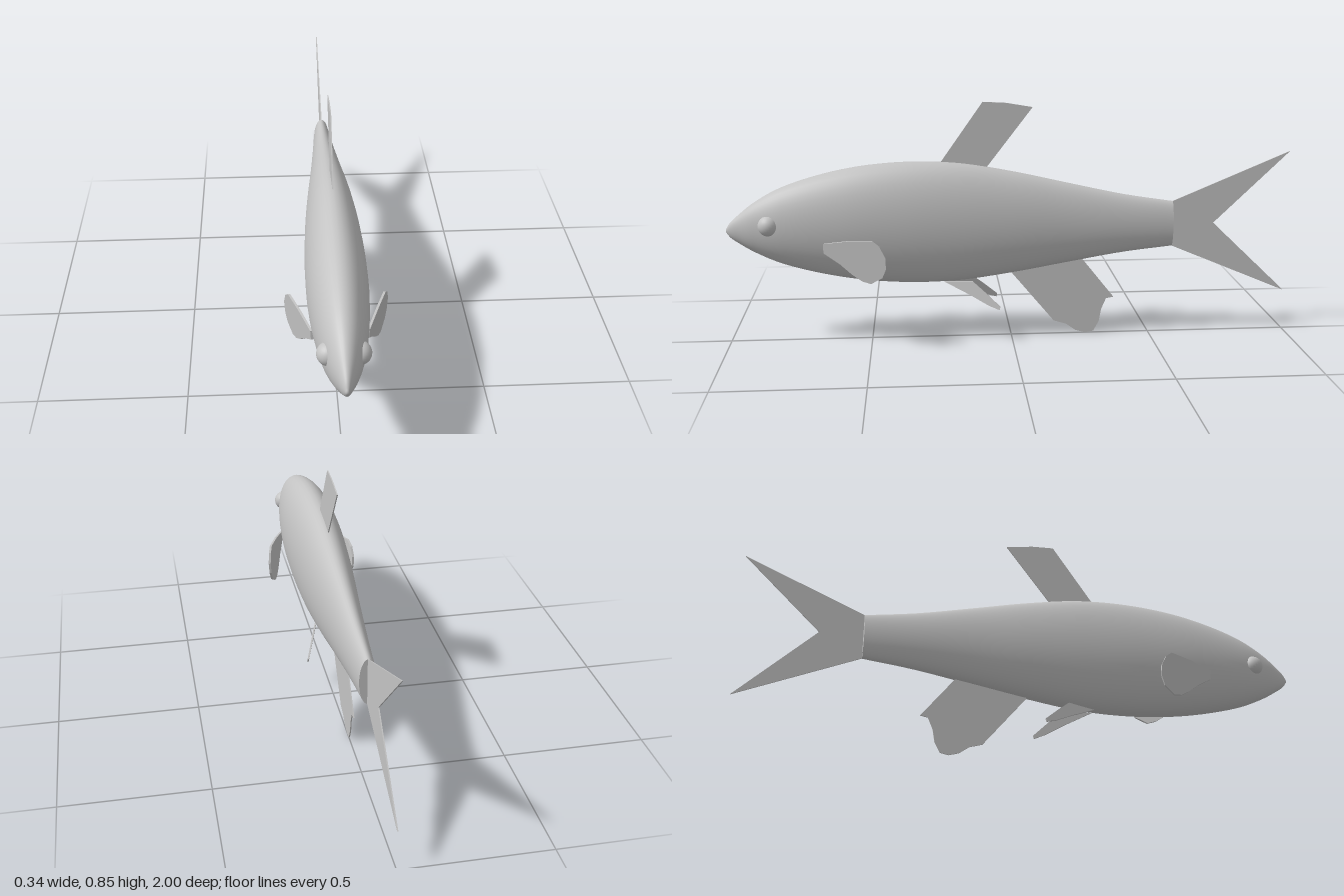
import * as THREE from 'three';

const silver = new THREE.MeshStandardMaterial({ color: 0xc4c4c4 });
silver.name = 'silver grey';

// Body stations: z, top y, bottom y, half width
const STATIONS = [
  [1.0, 0.412, 0.402, 0.004], [0.985, 0.435, 0.382, 0.013], [0.95, 0.467, 0.357, 0.028],
  [0.9, 0.506, 0.327, 0.047], [0.8, 0.56, 0.283, 0.073], [0.6, 0.618, 0.233, 0.096],
  [0.4, 0.642, 0.21, 0.1], [0.2, 0.638, 0.211, 0.093], [0, 0.605, 0.236, 0.079],
  [-0.2, 0.56, 0.27, 0.06], [-0.4, 0.516, 0.303, 0.043], [-0.58, 0.487, 0.323, 0.029],
];

function add(parent, name, geometry) {
  const mesh = new THREE.Mesh(geometry, silver);
  mesh.name = name;
  parent.add(mesh);
  return mesh;
}

// Smooth hull lofted through elliptical rings
function bodyGeometry(sides = 40, rings = 66) {
  const rim = new THREE.CatmullRomCurve3(STATIONS.map(([z, t, b]) => new THREE.Vector3(b, t, z)));
  const width = new THREE.CatmullRomCurve3(STATIONS.map(([z, , , w]) => new THREE.Vector3(w, 0, z)));
  const pos = [], index = [];
  for (let i = 0; i <= rings; i++) {
    const p = rim.getPoint(i / rings), w = width.getPoint(i / rings).x;
    for (let j = 0; j < sides; j++) {
      const a = (j / sides) * Math.PI * 2;
      pos.push(w * Math.cos(a), (p.x + p.y) / 2 + ((p.y - p.x) / 2) * Math.sin(a), p.z);
      if (i === rings) continue;
      const k = (j + 1) % sides, r = i * sides, s = r + sides;
      index.push(r + j, s + j, r + k, r + k, s + j, s + k);
    }
  }
  // Close the nose tip
  const tip = pos.length / 3;
  pos.push(0, 0.407, 1);
  for (let j = 0; j < sides; j++) index.push(tip, j, (j + 1) % sides);
  const geo = new THREE.BufferGeometry();
  geo.setAttribute('position', new THREE.Float32BufferAttribute(pos, 3));
  geo.setIndex(index);
  geo.computeVertexNormals();
  return geo;
}

// Thin plate from a side outline of [z, y]; sideways(z, y) gives its x position
function finGeometry(outline, thickness, sideways = () => 0) {
  const shape = new THREE.Shape(outline.map(([z, y]) => new THREE.Vector2(z, y)));
  const geo = new THREE.ExtrudeGeometry(shape, { depth: thickness, bevelEnabled: false });
  const p = geo.attributes.position;
  for (let i = 0; i < p.count; i++) {
    const z = p.getX(i), y = p.getY(i), d = p.getZ(i) - thickness / 2;
    p.setXYZ(i, sideways(z, y) - d, y, z);
  }
  geo.computeVertexNormals();
  return geo;
}

export function createModel() {
  const fish = new THREE.Group();
  fish.name = 'fish';

  add(fish, 'body', bodyGeometry());
  const cap = add(fish, 'bodyEnd', new THREE.CircleGeometry(1, 40));
  cap.scale.set(0.029, 0.082, 1);
  cap.rotation.y = Math.PI;
  cap.position.set(0, 0.405, -0.58);

  // Fins on the centre line
  add(fish, 'tailFin', finGeometry([
    [-0.56, 0.48], [-0.58, 0.487], [-1, 0.663], [-0.73, 0.405], [-1, 0.147], [-0.58, 0.323], [-0.56, 0.33],
  ], 0.004));
  add(fish, 'dorsalFin', finGeometry([
    [0.27, 0.605], [0.25, 0.637], [0.1, 0.85], [0.02, 0.846], [-0.075, 0.83], [0.085, 0.622], [0.11, 0.59],
  ], 0.004));
  add(fish, 'analFin', finGeometry([
    [0.02, 0.26], [0, 0.236], [-0.155, 0.05], [-0.2, 0.037], [-0.235, 0.012], [-0.27, 0.002], [-0.3, 0.008],
    [-0.32, 0.045], [-0.328, 0.09], [-0.345, 0.13], [-0.372, 0.135], [-0.26, 0.275], [-0.24, 0.3],
  ], 0.004));

  // Paired eyes and fins
  for (const [side, label] of [[1, 'left'], [-1, 'right']]) {
    const eye = add(fish, label + 'Eye', new THREE.SphereGeometry(0.037, 24, 16));
    eye.position.set(side * 0.046, 0.432, 0.847);

    add(fish, label + 'PectoralFin', finGeometry([
      [0.658, 0.375], [0.57, 0.391], [0.487, 0.397], [0.462, 0.378], [0.443, 0.34], [0.442, 0.3],
      [0.455, 0.268], [0.495, 0.243], [0.525, 0.25], [0.56, 0.272], [0.6, 0.305], [0.658, 0.342],
    ], 0.008, (z, y) => side * (0.088 + (0.658 - z) * 0.37 + (y - 0.36) * 0.07)));

    add(fish, label + 'PelvicFin', finGeometry([
      [0.24, 0.21], [0.14, 0.216], [0.095, 0.178], [0.045, 0.132], [0.048, 0.121], [0.085, 0.134], [0.15, 0.168],
    ], 0.006, (z, y) => side * (0.015 - 0.293 * (z - 0.24) - 0.166 * (y - 0.207))));
  }
  return fish;
}
